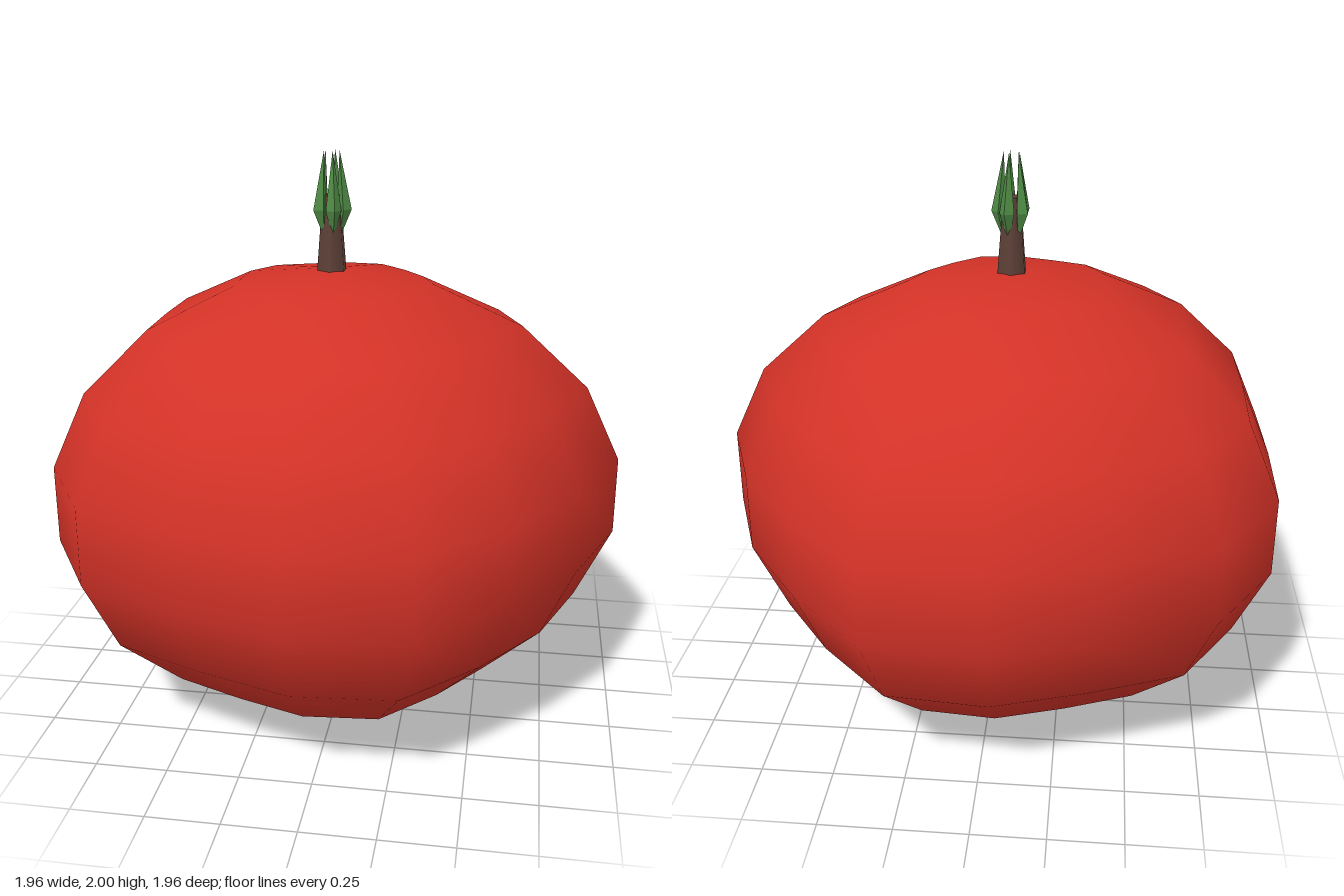
import * as THREE from 'three';

const flesh = new THREE.MeshStandardMaterial({ color: 0xd33227 });
flesh.name = 'red flesh';
const bark = new THREE.MeshStandardMaterial({ color: 0x5d4037 });
bark.name = 'brown stem';
const leafGreen = new THREE.MeshStandardMaterial({ color: 0x4f8a45 });
leafGreen.name = 'leaf green';

// Moves every vertex of a geometry by a rule
function reshape(geometry, rule) {
  const p = geometry.attributes.position;
  const v = new THREE.Vector3();
  for (let i = 0; i < p.count; i++) {
    rule(v.fromBufferAttribute(p, i));
    p.setXYZ(i, v.x, v.y, v.z);
  }
  return geometry;
}

function add(parent, name, geometry, material) {
  const mesh = new THREE.Mesh(geometry, material);
  mesh.name = name;
  parent.add(mesh);
  return mesh;
}

export function createModel() {
  const model = new THREE.Group();
  model.name = 'fruit';
  const axisX = -0.05;

  // Squashed sphere with five soft lobes; it keeps the round sphere normals
  const bodyGeometry = reshape(new THREE.SphereGeometry(0.995, 16, 9), (v) => {
    const lobe = 1 + 0.05 * Math.cos(5 * Math.atan2(v.z, v.x));
    v.x *= lobe;
    v.z *= lobe;
  });
  bodyGeometry.scale(1, 0.801, 1);
  add(model, 'body', bodyGeometry, flesh).position.set(axisX, 0.8, 0);

  // Tapered stem
  const stem = add(model, 'stem', new THREE.CylinderGeometry(0.033, 0.055, 0.27, 6), bark);
  stem.position.set(axisX, 1.715, 0);

  // Crown of five pointed leaves, widest low down and leaning inwards
  const leafGeometry = reshape(new THREE.OctahedronGeometry(1), (v) => {
    v.x = 0.045 + v.x * 0.025 - 0.017 * Math.abs(v.y);
    v.y = 1.8 + v.y * (v.y > 0 ? 0.2 : 0.1);
    v.z *= 0.027;
  });
  leafGeometry.computeVertexNormals();
  const crown = new THREE.Group();
  crown.name = 'crown';
  crown.position.x = axisX;
  for (let i = 0; i < 5; i++) {
    add(crown, 'leaf', leafGeometry, leafGreen).rotation.y = (i * Math.PI * 2) / 5;
  }
  model.add(crown);

  return model;
}
